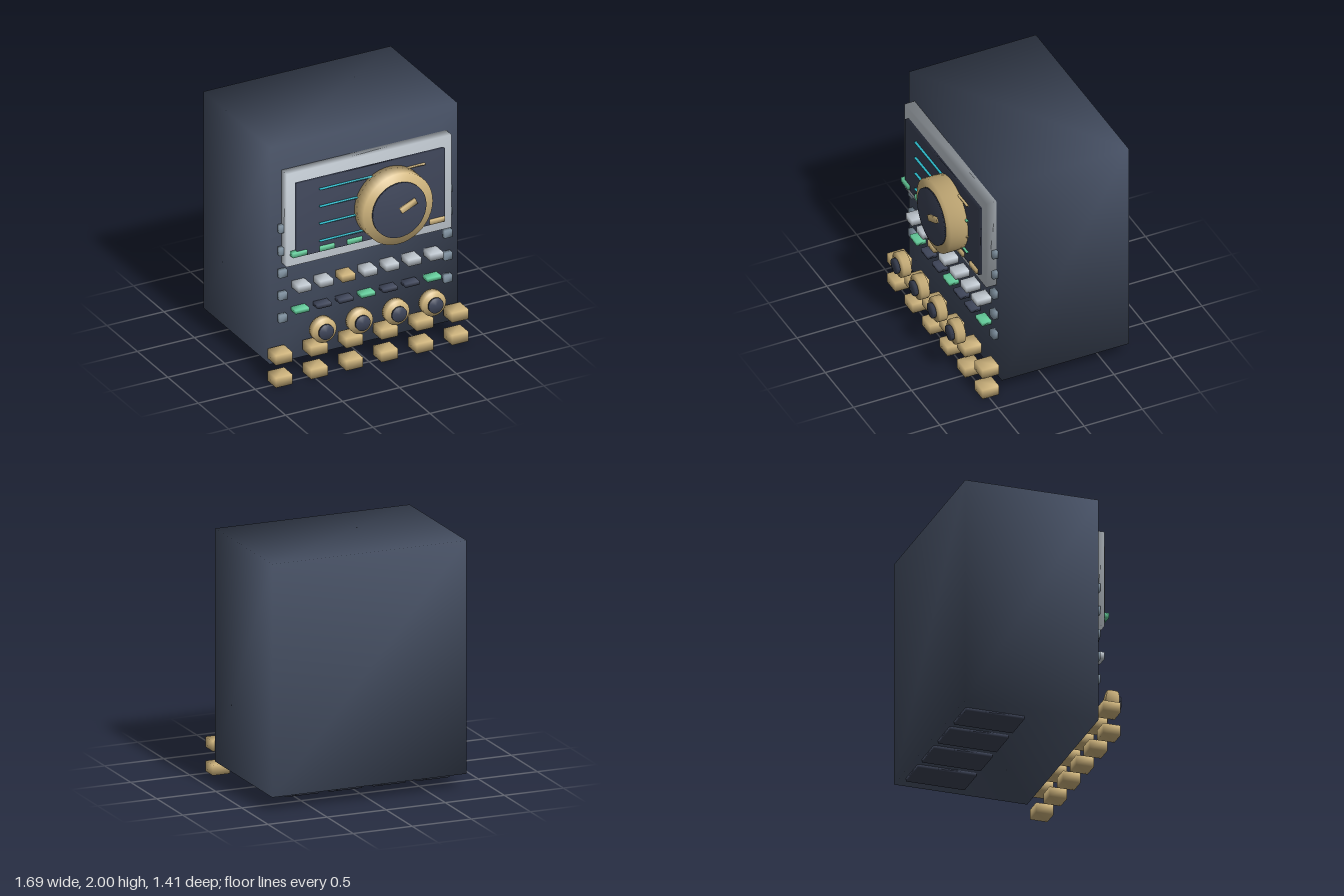
import * as THREE from 'three';
import { mergeVertices } from 'three/addons/utils/BufferGeometryUtils.js';

function mat(name, color) {
  const m = new THREE.MeshStandardMaterial({ color });
  m.name = name;
  return m;
}

// Share corner vertices so that normals blend softly over every edge
function soften(geometry) {
  geometry.deleteAttribute('uv');
  geometry.deleteAttribute('normal');
  const g = mergeVertices(geometry, 1e-4);
  g.computeVertexNormals();
  return g;
}

export function createModel() {
  const navy = mat('navy casing', 0x465064);
  const dark = mat('dark panel', 0x40475b);
  const brass = mat('brass', 0xd4b981);
  const silver = mat('silver', 0xc6ced6);
  const slate = mat('slate', 0x8496a5);
  const green = mat('green light', 0x66d09e);
  const cyan = mat('cyan line', 0x2fbfd0);

  const model = new THREE.Group();
  model.name = 'controlCabinet';

  const add = (name, geometry, material, x, y, z) => {
    const mesh = new THREE.Mesh(soften(geometry), material);
    mesh.name = name;
    mesh.position.set(x, y, z);
    model.add(mesh);
    return mesh;
  };
  // Box given by its centre, size, and back and front z
  const box = (name, material, x, y, w, h, z0, z1) =>
    add(name, new THREE.BoxGeometry(w, h, z1 - z0), material, x, y, (z0 + z1) / 2);
  // Disc facing the front
  const disc = (name, material, x, y, r, z0, z1) =>
    add(name, new THREE.CylinderGeometry(r, r, z1 - z0, 40).rotateX(Math.PI / 2), material, x, y, (z0 + z1) / 2);

  const front = 0.386;

  // Cabinet, display frame and screen
  box('cabinet', navy, 0.0125, 1.06, 1.645, 1.88, -0.708, front);
  box('displayFrame', silver, 0.0145, 1.382, 1.445, 0.806, front, 0.472);
  box('screen', dark, 0.0145, 1.379, 1.298, 0.636, 0.47, 0.503);

  // Display lines: long cyan part, then a short coloured end
  for (let i = 0; i < 4; i++) {
    const y = 1.61 - i * 0.15;
    box('displayLine', cyan, -0.17, y, 0.54, 0.012, 0.503, 0.52);
    box('displayLineEnd', i % 2 ? green : brass, 0.391, y, 0.184, 0.012, 0.503, 0.52);
  }

  // Indicator lamps along the bottom of the screen
  for (let i = 0; i < 6; i++) {
    box('indicatorLamp', i < 4 ? green : brass, -0.615 + i * 0.2415, 1.091, 0.127, 0.04, 0.472, 0.52);
  }

  // Main dial with cap and pointer
  disc('mainDial', brass, 0.174, 1.353, 0.305, 0.5, 0.65);
  disc('mainDialCap', dark, 0.174, 1.353, 0.233, 0.658, 0.68);
  const pointer = box('dialPointer', brass, 0.243, 1.384, 0.145, 0.045, 0.68, 0.705);
  pointer.rotation.z = 0.42;

  // Push buttons with status lights below
  for (let i = 0; i < 7; i++) {
    const x = -0.565 + i * 0.193;
    box('pushButton', i === 2 ? brass : silver, x, 0.773, 0.11, 0.057, front, 0.505);
    box('statusLight', i % 3 ? dark : green, x, 0.561, 0.12, 0.032, front, 0.466);
  }

  // Small knobs
  for (let i = 0; i < 4; i++) {
    const x = -0.467 + i * 0.3203;
    disc('knob', brass, x, 0.447, 0.103, 0.578, 0.645);
    disc('knobCap', dark, x, 0.447, 0.063, 0.657, 0.68);
  }

  // Rivets down both edges of the front
  for (let i = 0; i < 5; i++) {
    for (const x of [-0.712, 0.736]) {
      box('rivet', slate, x, 1.289 - i * 0.1945, 0.066, 0.064, front, 0.427);
    }
  }

  // Two rows of brass sockets
  for (let i = 0; i < 6; i++) {
    for (const y of [0.042, 0.237]) {
      box('socket', brass, -0.774 + i * 0.309, y, 0.145, 0.083, 0.413, 0.556);
    }
  }

  // Vent slats under the cabinet
  for (let i = 0; i < 4; i++) {
    box('ventSlat', dark, -0.547 + i * 0.369, 0.1085, 0.275, 0.029, -0.659, -0.177);
  }

  return model;
}
